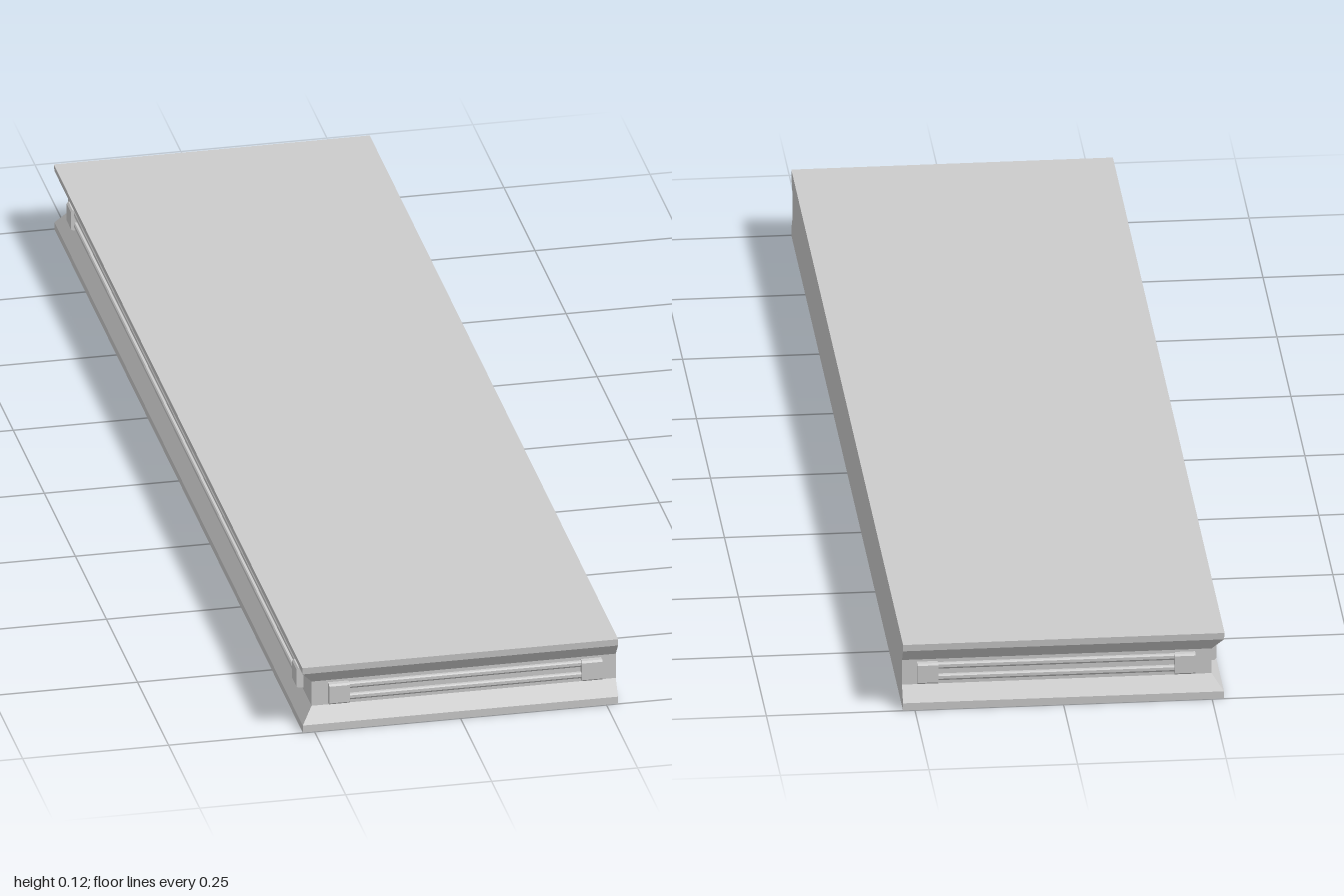
import * as THREE from 'three';

const grey = new THREE.MeshStandardMaterial({ color: 0xcccccc, flatShading: true });

// Slab outline on the three grooved edges: [inset, height]; the fourth edge stays flat.
const PROFILE = [[0.001, 0], [0.001, 0.013], [0.02, 0.039], [0.02, 0.084], [0.001, 0.108], [0, 0.12]];
const LEFT = -0.271, RIGHT = 0.27, END = 1, INSET = 0.02;

function slabGeometry() {
  const rings = PROFILE.map(([d, y]) => [
    [LEFT + d, y, END - d], [RIGHT, y, END - d], [RIGHT, y, d - END], [LEFT + d, y, d - END],
  ]);
  const pos = [];
  const quad = (a, b, c, d) => pos.push(...a, ...b, ...c, ...a, ...c, ...d);
  for (let i = 0; i < rings.length - 1; i++) {
    const lo = rings[i], hi = rings[i + 1];
    for (let k = 0; k < 4; k++) {
      const n = (k + 1) % 4;
      quad(lo[k], lo[n], hi[n], hi[k]);
    }
  }
  quad(...rings[rings.length - 1]);
  quad(...[...rings[0]].reverse());
  const geo = new THREE.BufferGeometry();
  geo.setAttribute('position', new THREE.Float32BufferAttribute(pos, 3));
  geo.computeVertexNormals();
  return geo;
}

// A bar running along x from x0 to x1, its section given as [outward, height].
function bar(name, section, x0, x1) {
  const shape = new THREE.Shape(section.map(([o, y]) => new THREE.Vector2(o, y)));
  const geo = new THREE.ExtrudeGeometry(shape, { depth: x1 - x0, bevelEnabled: false });
  geo.rotateY(-Math.PI / 2).translate(x1, 0, 0);
  const mesh = new THREE.Mesh(geo, grey);
  mesh.name = name;
  return mesh;
}

const RAIL = [[-0.003, 0], [0.003, 0], [0.007, 0.004], [0.007, 0.009], [0.005, 0.011], [-0.003, 0.011]];
const CLIP = [[-0.003, 0.043], [0.009, 0.043], [0.012, 0.046], [0.012, 0.077], [0.009, 0.08], [-0.003, 0.08]];
const CLIP_WIDTH = 0.035;

// Two rails held between a pair of clips; x0 and x1 are the outer clip edges.
function railSet(name, x0, x1) {
  const group = new THREE.Group();
  group.name = name;
  for (const y of [0.046, 0.067]) {
    group.add(bar('rail', RAIL.map(([o, h]) => [o, h + y]), x0 + CLIP_WIDTH - 0.005, x1 - CLIP_WIDTH + 0.005));
  }
  group.add(bar('clip', CLIP, x0, x0 + CLIP_WIDTH));
  group.add(bar('clip', CLIP, x1 - CLIP_WIDTH, x1));
  return group;
}

export function createModel() {
  const model = new THREE.Group();
  model.name = 'groovedSlab';

  const slab = new THREE.Mesh(slabGeometry(), grey);
  slab.name = 'slab';
  model.add(slab);

  // Rails sit in the groove of each end and of one long side
  const front = railSet('frontRails', -0.223, 0.245);
  front.position.z = END - INSET;

  const back = railSet('backRails', -0.245, 0.223);
  back.rotation.y = Math.PI;
  back.position.z = INSET - END;

  const side = railSet('sideRails', -0.935, 0.915);
  side.rotation.y = -Math.PI / 2;
  side.position.x = LEFT + INSET;

  model.add(front, back, side);
  return model;
}
